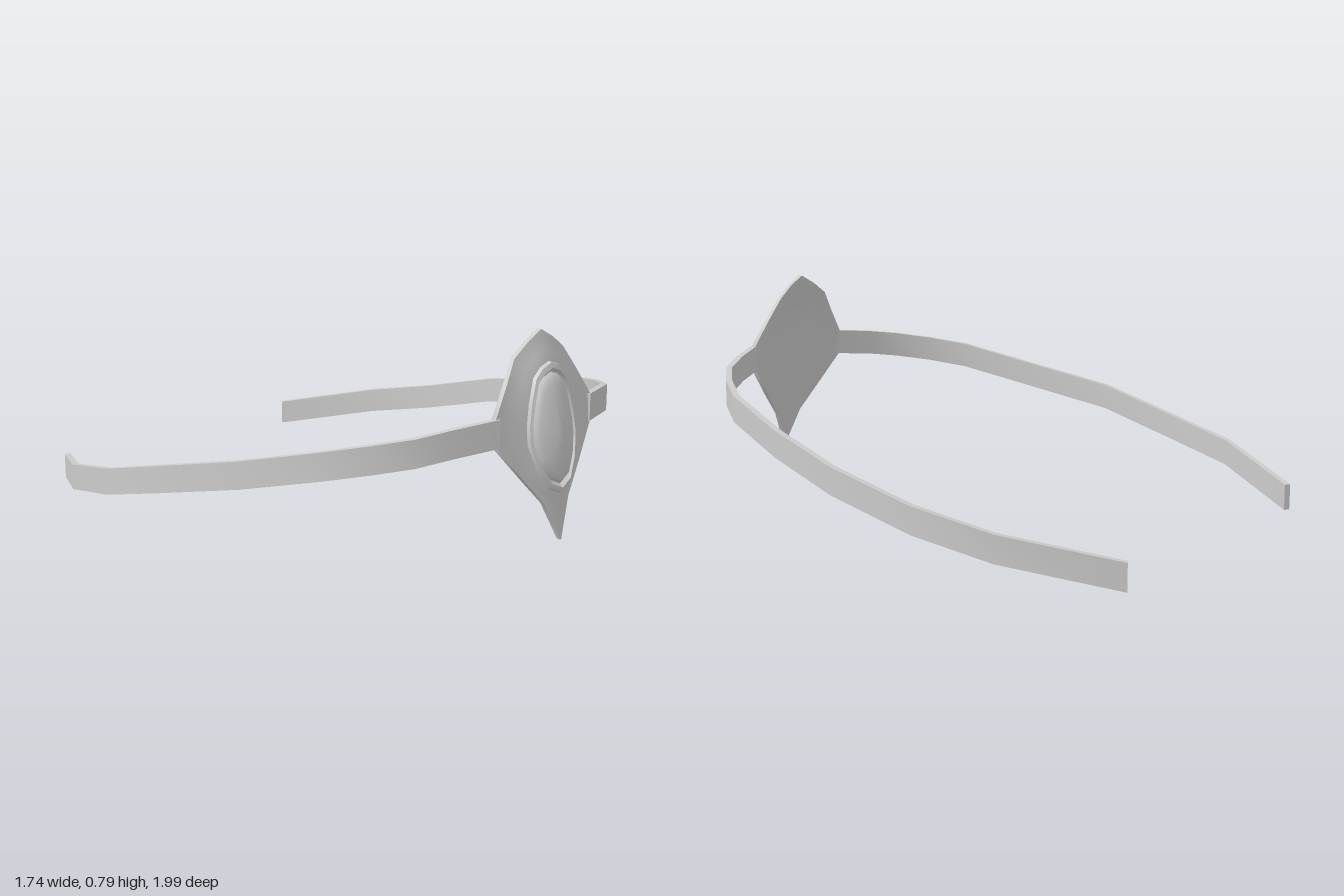
import * as THREE from 'three';
import { toCreasedNormals } from 'three/addons/utils/BufferGeometryUtils.js';

const material = new THREE.MeshStandardMaterial({ color: 0xcccccc, side: THREE.DoubleSide });

// Skin a list of closed rings (equal point counts), skipping collapsed triangles.
function loft(name, rings, crease) {
  const n = rings[0].length, pts = rings.flat(), index = [];
  const tri = (a, b, c) => {
    const area = pts[b].clone().sub(pts[a]).cross(pts[c].clone().sub(pts[a])).length();
    if (area > 1e-9) index.push(a, b, c);
  };
  for (let r = 0; r < rings.length - 1; r++) {
    for (let i = 0; i < n; i++) {
      const a = r * n + i, b = r * n + (i + 1) % n;
      tri(a, a + n, b);
      tri(b, a + n, b + n);
    }
  }
  const geo = new THREE.BufferGeometry().setFromPoints(pts);
  geo.setIndex(index);
  const mesh = new THREE.Mesh(toCreasedNormals(geo, crease), material);
  mesh.name = name;
  return mesh;
}

// Right half from top to bottom, completed by its mirror image.
function mirrorRing(half) {
  const right = half.map(p => new THREE.Vector3(...p));
  const left = right.slice(1, -1).reverse().map(p => new THREE.Vector3(-p.x, p.y, p.z));
  return [...right, ...left];
}
const shift = (ring, dz) => ring.map(p => new THREE.Vector3(p.x, p.y, p.z + dz));
const blend = (a, b, t, dz = 0) => a.map((p, i) => p.clone().lerp(b[i], t).add(new THREE.Vector3(0, 0, dz)));
const point = (ring, y, z) => ring.map(() => new THREE.Vector3(0, y, z));

// Slim rectangular band swept along one side of the head.
function sideBand(s) {
  const path = [ // x, y, z
    [0.235, 0.497, 0.91], [0.26, 0.495, 0.9], [0.38, 0.482, 0.85], [0.5, 0.462, 0.79],
    [0.6, 0.44, 0.69], [0.69, 0.412, 0.565], [0.785, 0.342, 0.28], [0.86, 0.275, -0.035],
    [0.846, 0.193, -0.35], [0.79, 0.135, -0.635], [0.578, 0.055, -0.99],
  ].map(p => new THREE.Vector3(...p));
  const rings = path.map((p, i) => {
    const t = path[Math.min(i + 1, path.length - 1)].clone().sub(path[Math.max(i - 1, 0)]);
    const out = new THREE.Vector3(-t.z, 0, t.x).normalize().multiplyScalar(0.0115);
    return [[1, 1], [1, -1], [-1, -1], [-1, 1]].map(([o, h]) => {
      const v = p.clone().addScaledVector(out, o);
      v.y += h * 0.048;
      v.x *= s;
      return v;
    });
  });
  const cap = i => rings[i].map(() => path[i].clone().multiply(new THREE.Vector3(s, 1, 1)));
  const all = [cap(0), ...rings, cap(path.length - 1)];
  return loft(s > 0 ? 'leftBand' : 'rightBand', s > 0 ? all.map(r => [...r].reverse()) : all, 0.75);
}

export function createModel() {
  const group = new THREE.Group();
  group.add(sideBand(1), sideBand(-1));

  // Pointed, curved plaque outline and the oval opening for the stone
  const outline = mirrorRing([
    [0, 0.8, 0.87], [0.07, 0.763, 0.868], [0.13, 0.72, 0.865], [0.185, 0.64, 0.88],
    [0.25, 0.545, 0.893], [0.25, 0.45, 0.898], [0.15, 0.332, 0.93], [0.065, 0.235, 0.955],
    [0, 0.1, 0.98],
  ]);
  const oval = mirrorRing([
    [0, 0.7], [0.045, 0.685], [0.078, 0.655], [0.105, 0.575], [0.121, 0.5],
    [0.124, 0.44], [0.1, 0.355], [0.055, 0.285], [0, 0.26],
  ].map(([x, y]) => [x, y, 0.92 + (0.7 - y) * 0.145 - 1.1 * x * x]));

  const front = shift(outline, 0.017);
  group.add(loft('plaque', [
    point(outline, 0.48, 0.928), blend(oval, point(oval, 0.48, 0.928), 0.5, -0.01), shift(oval, -0.025),
    blend(outline, oval, 0.5, -0.015), outline, front,
    blend(front, oval, 0.25, -0.002), blend(front, oval, 0.6, -0.002), oval,
    blend(oval, point(oval, 0.48, 0.953), 0.3),
  ], 0.9));

  // Raised oval setting around the stone
  const centre = point(oval, 0.48, 0.955);
  const inset = (t, dz) => blend(oval, centre, t, dz);
  group.add(loft('setting', [
    inset(0, -0.005), inset(0.02, 0.012), inset(0.1, 0.016), inset(0.15, 0.004), inset(0.19, 0.004),
  ], 0.5));

  // Domed stone
  group.add(loft('stone', [
    inset(0.15, 0), inset(0.2, 0.014), inset(0.3, 0.022), inset(0.55, 0.03), inset(0.8, 0.035),
    point(oval, 0.48, 0.992),
  ], 0.6));
  return group;
}
